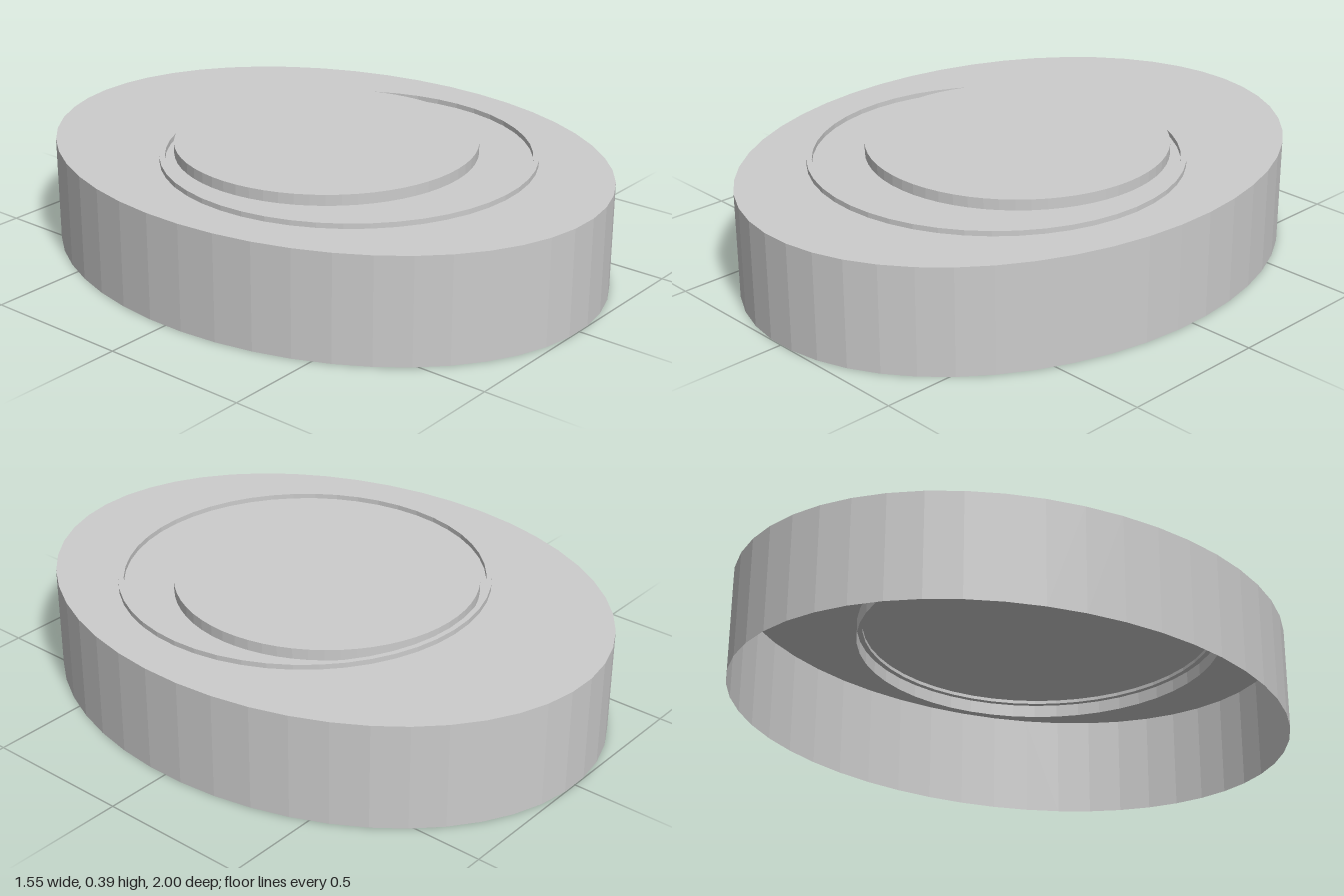
import * as THREE from 'three';

const SEGMENTS = 48;
const HALF_STEP = Math.PI / SEGMENTS;
const LID_Y = 0.357;

export function createModel() {
  const model = new THREE.Group();
  model.name = 'ovalCap';
  const grey = new THREE.MeshStandardMaterial({ color: 0xcccccc, side: THREE.DoubleSide, flatShading: true });
  grey.name = 'light grey';

  const add = (name, geometry, y = 0, z = 0) => {
    const mesh = new THREE.Mesh(geometry, grey);
    mesh.name = name;
    mesh.position.set(0, y, z);
    model.add(mesh);
    return mesh;
  };

  // Thin oval wall, open underneath
  const wall = new THREE.CylinderGeometry(1, 1, LID_Y, SEGMENTS, 1, true, HALF_STEP);
  wall.scale(0.777, 1, 1);
  add('ovalWall', wall, LID_Y / 2);

  // Oval lid
  const lid = new THREE.CircleGeometry(1, SEGMENTS, HALF_STEP);
  lid.rotateX(-Math.PI / 2);
  lid.scale(0.777, 1, 1);
  add('ovalLid', lid, LID_Y);

  // Raised ring, set forward, passing through the lid with a stepped underside
  const ringProfile = [
    [0.618, 0.3], [0.618, 0.374], [0.6, 0.374], [0.6, 0.345], [0.618, 0.345],
  ].map(([r, y]) => new THREE.Vector2(r, y));
  add('raisedRing', new THREE.LatheGeometry(ringProfile, SEGMENTS), 0, 0.095);

  // Round plate in the middle of the lid
  const plateHeight = 0.036;
  const plate = new THREE.CylinderGeometry(0.502, 0.502, plateHeight, 64);
  add('centrePlate', plate, LID_Y + 0.001 + plateHeight / 2);

  return model;
}
